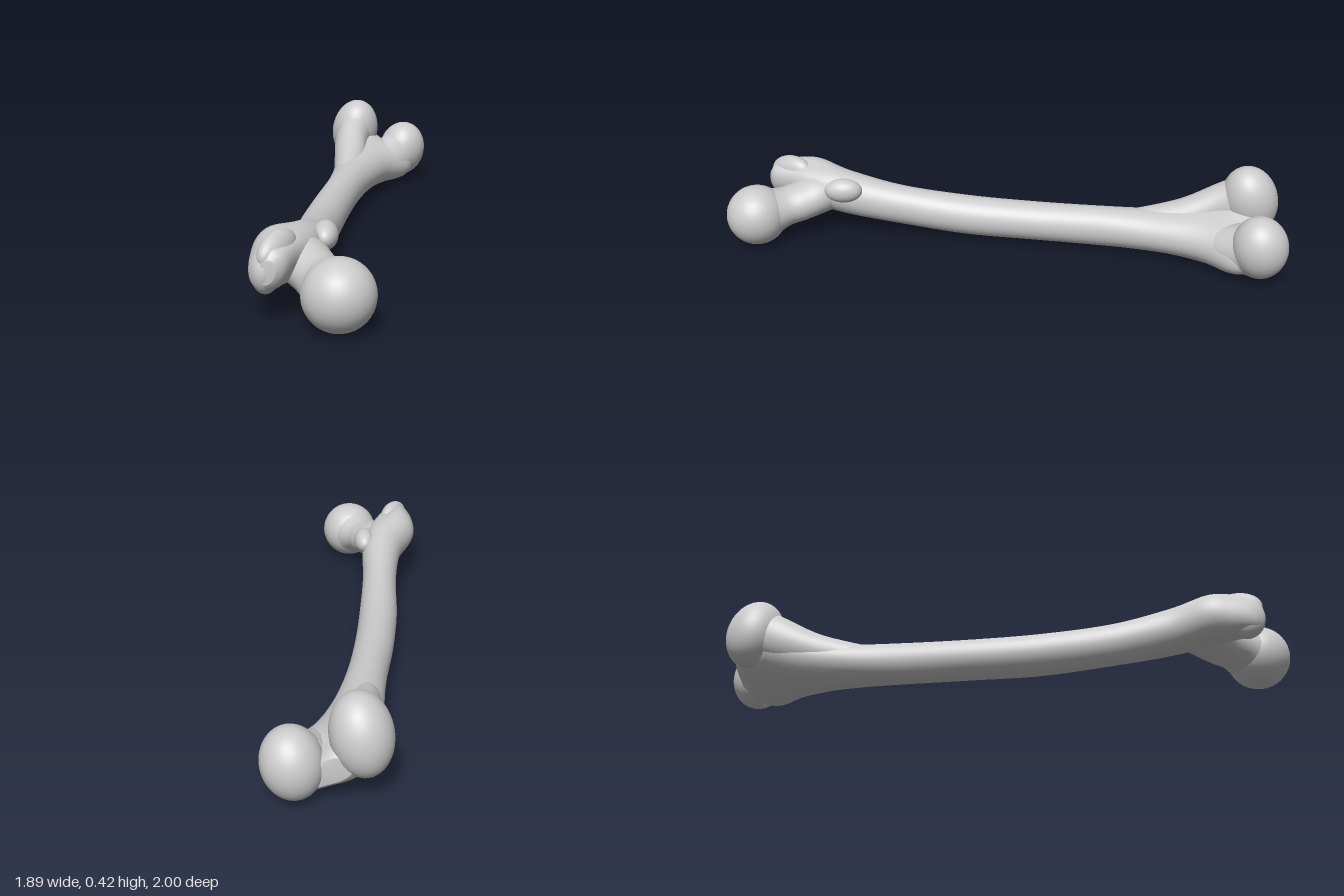
import * as THREE from 'three';

const material = new THREE.MeshStandardMaterial({ color: 0xcccccc });

// Smooth blend of neighbouring cross-sections (Catmull-Rom)
function blend(rows, t) {
  const i = Math.min(Math.floor(t), rows.length - 2), f = t - i;
  const at = k => rows[Math.max(0, Math.min(rows.length - 1, k))];
  return [0, 1, 2, 3, 4, 5, 6].map(k => {
    const [a, b, c, d] = [at(i - 1), at(i), at(i + 1), at(i + 2)].map(r => r[k] ?? 0);
    return b + 0.5 * f * (c - a + f * (2 * a - 5 * b + 4 * c - d + f * (3 * (b - c) + d - a)));
  });
}

// Loft along x. Section: [x, z, y, half width, half height, roll, groove depth]
function loft(name, rows, sides = 40, steps = 6) {
  const pos = [], index = [], rings = (rows.length - 1) * steps;
  for (let i = 0; i <= rings; i++) {
    const [x, z, y, rz, ry, roll, groove] = blend(rows, i / steps);
    const c = Math.cos(roll), s = Math.sin(roll);
    for (let j = 0; j < sides; j++) {
      const a = (j / sides) * Math.PI * 2, up = Math.sin(a);
      const dent = 1 - groove * Math.pow(Math.abs(up), 8) * (up > 0 ? 1 : 0.4);
      const pz = Math.cos(a) * rz * dent, py = up * ry * dent;
      pos.push(x, y - s * pz + c * py, z + c * pz + s * py);
    }
  }
  for (let i = 0; i < rings; i++) {
    for (let j = 0; j < sides; j++) {
      const a = i * sides + j, b = i * sides + ((j + 1) % sides);
      index.push(a, a + sides, b, b, a + sides, b + sides);
    }
  }
  // End caps
  const first = rows[0], last = rows[rows.length - 1], n = pos.length / 3;
  pos.push(first[0], first[2], first[1], last[0], last[2], last[1]);
  for (let j = 0; j < sides; j++) {
    const k = (j + 1) % sides, e = rings * sides;
    index.push(n, j, k, n + 1, e + k, e + j);
  }
  const geometry = new THREE.BufferGeometry();
  geometry.setAttribute('position', new THREE.Float32BufferAttribute(pos, 3));
  geometry.setIndex(index);
  geometry.computeVertexNormals();
  const mesh = new THREE.Mesh(geometry, material);
  mesh.name = name;
  return mesh;
}

// Rounded bony lump
function lump(name, center, radii, rotation = [0, 0, 0]) {
  const geometry = new THREE.SphereGeometry(1, 40, 28);
  geometry.scale(...radii);
  const mesh = new THREE.Mesh(geometry, material);
  mesh.name = name;
  mesh.position.set(...center);
  mesh.rotation.set(...rotation);
  return mesh;
}

export function createModel() {
  const model = new THREE.Group();
  model.name = 'thighBone';

  // Everything aligned with the shaft lives in a diagonal frame
  const bone = new THREE.Group();
  bone.name = 'shaftAndEnds';
  bone.rotation.y = Math.PI / 4;
  model.add(bone);

  bone.add(loft('shaft', [
    [-1.135, -0.15, 0.21, 0.03, 0.045, 0.3],
    [-1.1, -0.152, 0.215, 0.065, 0.09, 0.4, 0.1],
    [-1.0, -0.15, 0.22, 0.09, 0.11, 0.4, 0.2],
    [-0.9, -0.135, 0.215, 0.11, 0.11, 0.3, 0.1],
    [-0.74, -0.1, 0.19, 0.095, 0.1],
    [-0.5, -0.11, 0.145, 0.08, 0.09],
    [-0.2, -0.13, 0.11, 0.086, 0.09],
    [0.1, -0.137, 0.103, 0.085, 0.088],
    [0.4, -0.13, 0.108, 0.085, 0.09],
    [0.65, -0.12, 0.115, 0.105, 0.093, 0.15],
    [0.85, -0.1, 0.13, 0.14, 0.105, 0.3, 0.05],
    [1.0, -0.055, 0.145, 0.19, 0.11, 0.38, 0.2],
    [1.1, -0.045, 0.15, 0.17, 0.1, 0.38, 0.4],
    [1.15, -0.04, 0.15, 0.12, 0.06, 0.38, 0.4],
  ]));

  // Flares running from the shaft into the two condyles
  bone.add(loft('upperFlare', [
    [0.5, -0.14, 0.12, 0.05, 0.06],
    [0.75, -0.155, 0.165, 0.078, 0.085],
    [0.92, -0.175, 0.225, 0.083, 0.112, 0.1],
    [1.04, -0.17, 0.28, 0.09, 0.125, 0.2],
  ]));
  bone.add(loft('lowerFlare', [
    [0.55, -0.1, 0.1, 0.055, 0.06],
    [0.8, -0.07, 0.1, 0.07, 0.078],
    [0.95, 0, 0.12, 0.095, 0.092],
    [1.08, 0.055, 0.15, 0.115, 0.12],
  ]));
  bone.add(lump('upperCondyle', [1.06, 0.27, -0.175], [0.122, 0.162, 0.118], [0.2, 0, 0.2]));
  bone.add(lump('lowerCondyle', [1.11, 0.165, 0.07], [0.12, 0.142, 0.118], [0.2, 0, 0.1]));

  // Knobs at the hip end
  bone.add(lump('greaterTrochanterCrest', [-1.03, 0.265, -0.135], [0.11, 0.07, 0.05], [0, -0.35, 0.15]));
  bone.add(lump('greaterTrochanterSide', [-1.06, 0.2, -0.17], [0.08, 0.09, 0.055]));
  bone.add(lump('lesserTrochanter', [-0.745, 0.238, -0.012], [0.085, 0.055, 0.05], [0, 0.15, 0]));

  // Neck turns off the shaft toward the front
  const neck = loft('neck', [
    [0.45, 0.65, 0.19, 0.06, 0.07],
    [0.58, 0.68, 0.185, 0.105, 0.09],
    [0.67, 0.69, 0.165, 0.102, 0.087],
    [0.74, 0.705, 0.152, 0.102, 0.087],
    [0.81, 0.716, 0.142, 0.118, 0.112],
  ]);
  neck.rotation.y = -Math.PI / 2;
  model.add(neck);
  model.add(lump('ballHead', [-0.72, 0.14, 0.865], [0.135, 0.135, 0.135]));

  return model;
}
